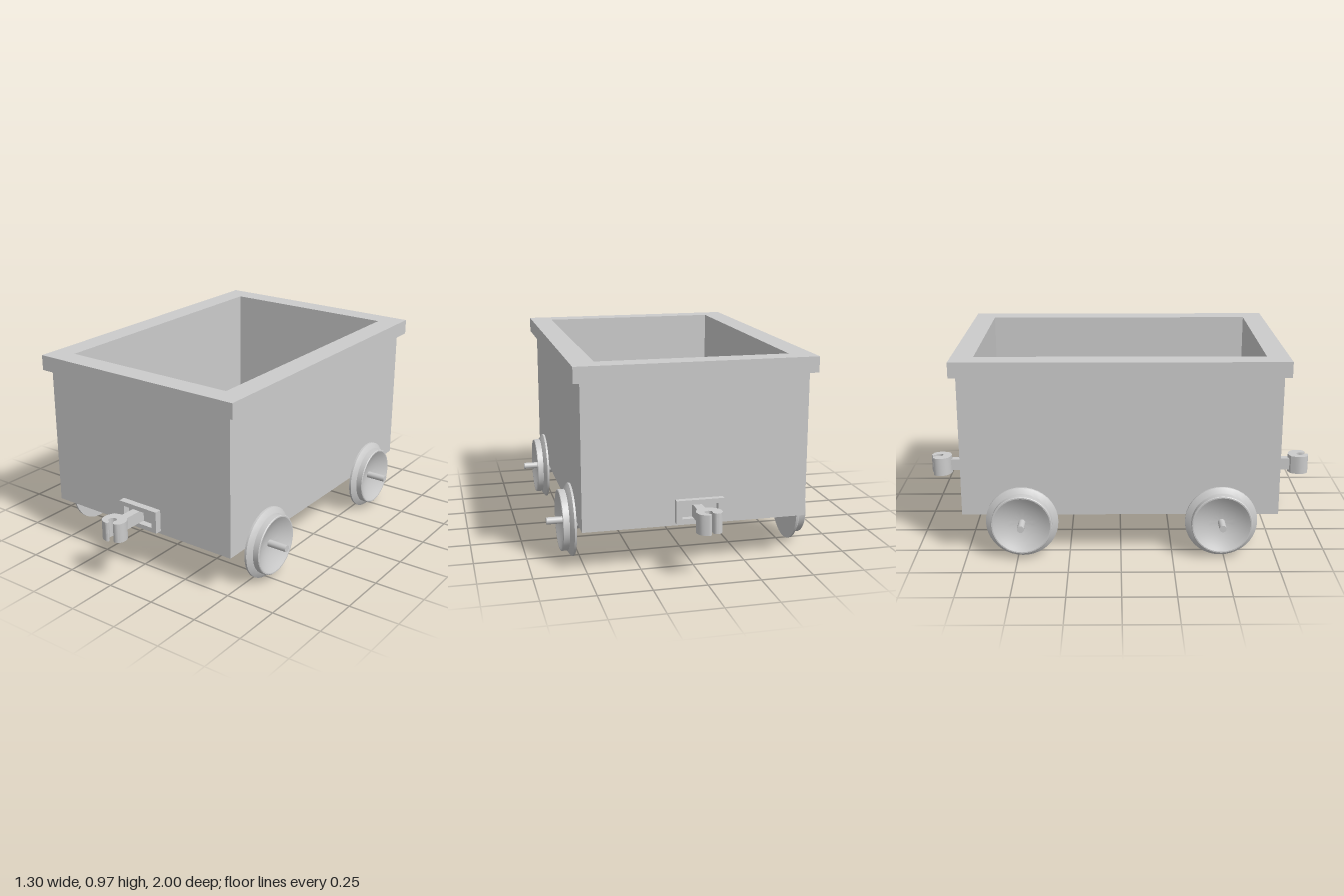
import * as THREE from 'three';
import { toCreasedNormals } from 'three/addons/utils/BufferGeometryUtils.js';

const MID = -0.008; // centre line of the tub

export function createModel() {
  const model = new THREE.Group();
  const material = new THREE.MeshStandardMaterial({ color: 0xcccccc });

  const add = (parent, name, geometry, x = 0, y = 0, z = 0) => {
    const mesh = new THREE.Mesh(geometry, material);
    mesh.name = name;
    mesh.position.set(x, y, z);
    parent.add(mesh);
    return mesh;
  };

  const rectangle = (w, h, Type) => new Type([
    new THREE.Vector2(-w / 2, -h / 2), new THREE.Vector2(w / 2, -h / 2),
    new THREE.Vector2(w / 2, h / 2), new THREE.Vector2(-w / 2, h / 2),
  ]);

  // Rectangular ring, extruded along +z
  const frame = (w, h, innerW, innerH, depth) => {
    const shape = rectangle(w, h, THREE.Shape);
    shape.holes.push(rectangle(innerW, innerH, THREE.Path));
    return new THREE.ExtrudeGeometry(shape, { depth, bevelEnabled: false });
  };

  // Open tub: walls, floor and overhanging rim
  const tub = new THREE.Group();
  tub.name = 'tub';
  model.add(tub);
  add(tub, 'walls', frame(1.066, 1.53, 0.91, 1.376, 0.69).rotateX(-Math.PI / 2), MID, 0.21, -0.003);
  add(tub, 'floor', new THREE.BoxGeometry(0.91, 0.05, 1.376), MID, 0.235, -0.003);
  add(tub, 'rim', frame(1.133, 1.59, 0.91, 1.376, 0.075).rotateX(-Math.PI / 2), MID, 0.9, -0.003);

  // Flanged wheel with a flat back and a dished outer face
  const profile = [[0, 0], [0.175, 0], [0.175, 0.01], [0.152, 0.026], [0.147, 0.028],
    [0.147, 0.057], [0.144, 0.06], [0.138, 0.06]].map(([r, h]) => new THREE.Vector2(r, h));
  for (let i = 1; i <= 8; i++) {
    const r = 0.138 * (1 - i / 8);
    profile.push(new THREE.Vector2(r, 0.02 + 0.04 * (r / 0.138) ** 2));
  }
  const wheelGeometry = toCreasedNormals(
    new THREE.LatheGeometry(profile, 40).rotateZ(-Math.PI / 2), 0.45);

  // Axle bracket with chamfered lower corners
  const bracketShape = new THREE.Shape([[-0.04, 0.033], [-0.04, -0.02], [-0.02, -0.042],
    [0.02, -0.042], [0.04, -0.02], [0.04, 0.033]].map(([x, y]) => new THREE.Vector2(x, y)));
  const bracketGeometry = new THREE.ExtrudeGeometry(bracketShape, { depth: 0.035, bevelEnabled: false })
    .translate(0, 0, -0.0175).rotateY(Math.PI / 2);

  for (const [name, z] of [['frontWheelset', 0.485], ['backWheelset', -0.478]]) {
    const set = new THREE.Group();
    set.name = name;
    set.position.set(0, 0.178, z);
    model.add(set);
    add(set, 'axle', new THREE.CylinderGeometry(0.017, 0.017, 1.3, 20).rotateZ(Math.PI / 2));
    for (const side of [1, -1]) {
      const label = side > 0 ? 'left' : 'right';
      const wheel = add(set, label + 'Wheel', wheelGeometry, MID + side * 0.538, 0, 0);
      if (side < 0) wheel.rotation.y = Math.PI;
      add(set, label + 'Bracket', bracketGeometry, MID + side * 0.516, 0, 0);
    }
  }

  // Open hook outline seen from above (x, z)
  const hookPoints = [[-0.038, 0.902], [-0.05, 0.93], [-0.053, 0.955], [-0.04, 0.985],
    [-0.005, 0.998], [0.006, 0.99], [-0.002, 0.978], [-0.016, 0.965], [-0.015, 0.945],
    [0.004, 0.936], [0.018, 0.947], [0.018, 0.97], [0.032, 0.985], [0.055, 0.978],
    [0.066, 0.95], [0.058, 0.92], [0.036, 0.9], [0, 0.89]].map(([x, z]) => new THREE.Vector2(x, z));
  const hookShape = new THREE.Shape();
  hookShape.moveTo(hookPoints[0].x, hookPoints[0].y);
  hookShape.splineThru(hookPoints.slice(1));
  hookShape.closePath();
  const hookGeometry = toCreasedNormals(new THREE.ExtrudeGeometry(hookShape,
    { depth: 0.095, bevelEnabled: false, curveSegments: 3 }).rotateX(Math.PI / 2), 0.6);

  // Coupler at each end, the back one turned half round
  for (const [name, turn] of [['frontCoupler', 0], ['backCoupler', Math.PI]]) {
    const coupler = new THREE.Group();
    coupler.name = name;
    coupler.position.x = MID;
    coupler.rotation.y = turn;
    model.add(coupler);
    add(coupler, 'plate', frame(0.226, 0.11, 0.17, 0.066, 0.036), 0.012, 0.28, 0.76);
    add(coupler, 'shaft', new THREE.BoxGeometry(0.042, 0.06, 0.145), 0, 0.28, 0.8325);
    add(coupler, 'hook', hookGeometry, 0.002, 0.329, 0.002);
  }

  return model;
}
